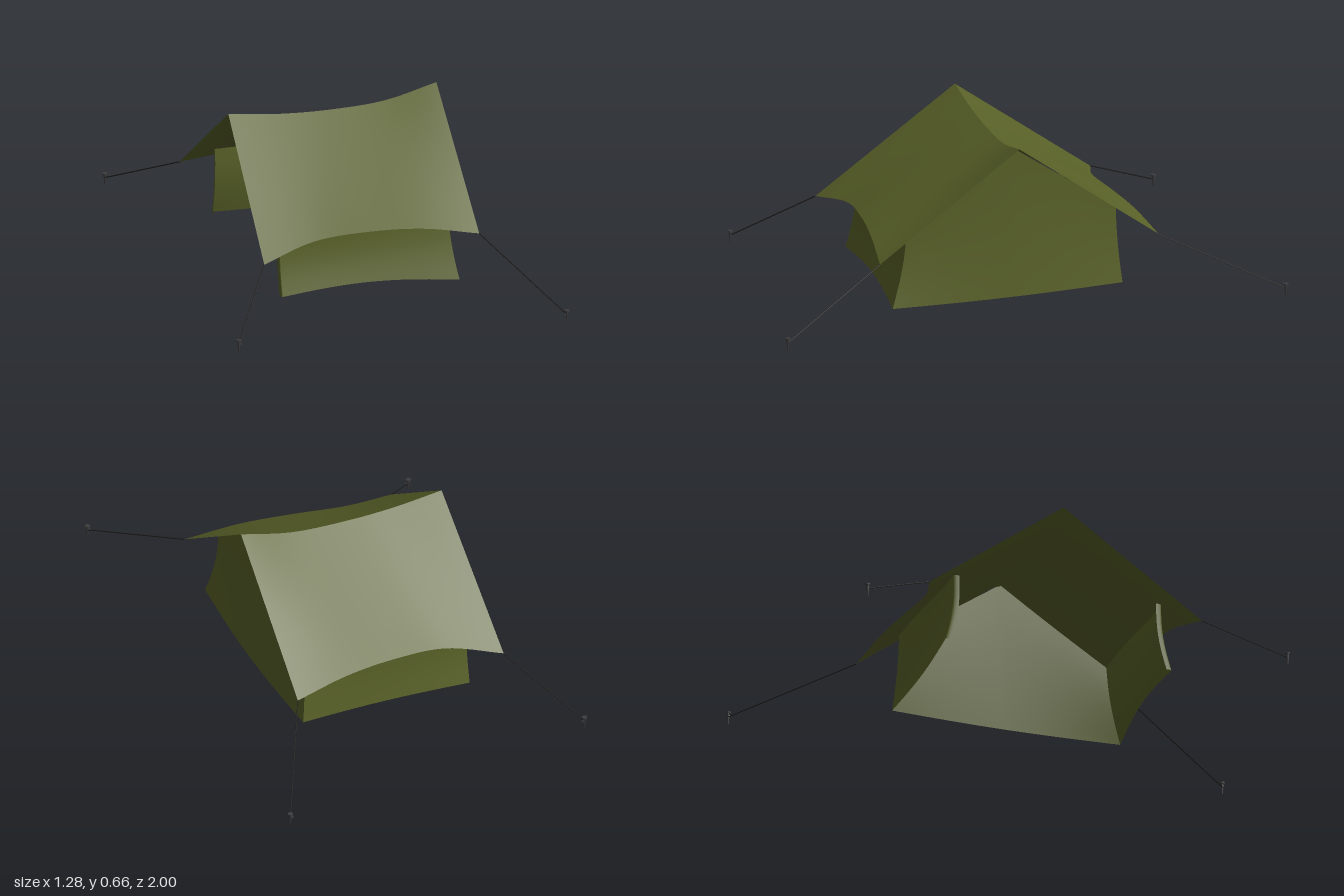
import * as THREE from 'three';

const canvas = new THREE.MeshStandardMaterial({ color: 0x5a6228, side: THREE.DoubleSide });
canvas.name = 'olive canvas';
const cord = new THREE.MeshStandardMaterial({ color: 0x1c1c1a });
cord.name = 'black cord';
const metal = new THREE.MeshStandardMaterial({ color: 0x3c3c3e });
metal.name = 'dark metal';

const lerp = THREE.MathUtils.lerp;
const curve = pts => new THREE.CatmullRomCurve3(pts.map(p => new THREE.Vector3(...p)));

// sagging ridge line and front eave line, both running from -x to +x
const ridge = curve([[-0.41, 0.628, 0], [-0.204, 0.604, 0], [0.002, 0.598, 0], [0.209, 0.61, 0], [0.415, 0.66, 0]]);
const eave = curve([[-0.435, 0.225, 0.545], [-0.22, 0.272, 0.488], [-0.01, 0.29, 0.497], [0.2, 0.288, 0.522], [0.415, 0.255, 0.553]]);

// height of the roof above a point on the ground
function roofY(x, z) {
  const u = THREE.MathUtils.clamp((x + 0.415) / 0.83, 0, 1);
  const e = eave.getPoint(u);
  return lerp(ridge.getPoint(u).y, e.y, Math.abs(z) / e.z);
}

// smooth sheet from a rule f(u, v) -> [x, y, z]
function sheet(name, f, nu, nv) {
  const pos = [], index = [];
  for (let j = 0; j <= nv; j++) {
    for (let i = 0; i <= nu; i++) pos.push(...f(i / nu, j / nv));
  }
  for (let j = 0; j < nv; j++) {
    for (let i = 0; i < nu; i++) {
      const a = j * (nu + 1) + i, b = a + nu + 1;
      index.push(a, b, a + 1, a + 1, b, b + 1);
    }
  }
  const g = new THREE.BufferGeometry();
  g.setAttribute('position', new THREE.Float32BufferAttribute(pos, 3));
  g.setIndex(index);
  g.computeVertexNormals();
  const mesh = new THREE.Mesh(g, canvas);
  mesh.name = name;
  return mesh;
}

// corner edges of the body: v = 0 at the roof, v = 1 at the hem
const frontCorner = v => [lerp(0.33, 0.358, v * v), lerp(0.42, 0.485, v) - 0.012 * Math.sin(Math.PI * v)];
const backCorner = v => [lerp(0.325, 0.342, v * v), lerp(-0.41, -0.432, v) + 0.004 * Math.sin(Math.PI * v)];

function sideWall(name, corner, endTop, endBottom, side, hemRise) {
  return sheet(name, (u, v) => {
    const [cx, cz] = corner(v);
    const x = lerp(-0.335, cx, u);
    const endZ = lerp(endTop, endBottom, v) - 0.012 * Math.sin(Math.PI * v);
    const sag = Math.sin(Math.PI * u);
    const z = lerp(side * endZ, cz, u) - side * 0.012 * sag * v;
    const top = roofY(x, lerp(side * endTop, corner(0)[1], u)) - 0.004;
    return [x, lerp(top, 0.047 + hemRise * sag, v), z];
  }, 24, 12);
}

// narrow rounded flap turned in at the open end
function endFlap(name, top, bottom, side) {
  return sheet(name, (u, v) => {
    const a = u * Math.PI / 2;
    const z = lerp(top, bottom, v) - 0.012 * Math.sin(Math.PI * v);
    return [
      -0.335 - 0.006 * Math.sin(a),
      lerp(roofY(-0.335, top) - 0.004, 0.047, v),
      side * (z - 0.022 * (1 - Math.cos(a))),
    ];
  }, 5, 12);
}

// ground peg: tapered shaft, flat head and side hook
function peg(x, y, z) {
  const g = new THREE.Group();
  g.name = 'peg';
  const shaft = new THREE.Mesh(new THREE.CylinderGeometry(0.006, 0.002, 0.046, 8), metal);
  shaft.name = 'pegShaft';
  shaft.position.y = 0.023;
  const head = new THREE.Mesh(new THREE.CylinderGeometry(0.01, 0.01, 0.006, 10), metal);
  head.name = 'pegHead';
  head.position.y = 0.046;
  const hook = new THREE.Mesh(new THREE.BoxGeometry(0.012, 0.005, 0.006), metal);
  hook.name = 'pegHook';
  hook.position.set(-Math.sign(x) * 0.006, 0.03, 0);
  g.add(shaft, head, hook);
  g.position.set(x, y, z);
  return g;
}

export function createModel() {
  const tent = new THREE.Group();
  tent.name = 'tent';

  // two roof panels meeting in a crease at the ridge
  for (const side of [1, -1]) {
    tent.add(sheet(side > 0 ? 'frontRoof' : 'backRoof', (u, v) => {
      const r = ridge.getPoint(u), e = eave.getPoint(u);
      return [lerp(r.x, e.x, v), lerp(r.y, e.y, v), side * e.z * v];
    }, 32, 8));
  }

  // long walls
  tent.add(sideWall('frontWall', frontCorner, 0.415, 0.457, 1, 0.022));
  tent.add(sideWall('backWall', backCorner, 0.415, 0.446, -1, 0));
  tent.add(endFlap('frontFlap', 0.415, 0.457, 1));
  tent.add(endFlap('backFlap', 0.415, 0.446, -1));

  // closed gable wall, bulging slightly outwards; the other end is open
  tent.add(sheet('gableWall', (u, v) => {
    const [fx, fz] = frontCorner(v), [bx, bz] = backCorner(v);
    const bulge = Math.sin(Math.PI * u);
    const x = lerp(fx, bx, u) + 0.018 * bulge;
    const top = roofY(x, lerp(frontCorner(0)[1], backCorner(0)[1], u)) - 0.004;
    return [x, lerp(top, 0.047, v), lerp(fz, bz, u)];
  }, 40, 12));

  // guy ropes from the eave corners to the pegs: u along the eave, side, peg x, y, z
  const guys = [
    [1, 1, 0.63, 0.035, 0.985],
    [1, -1, 0.63, 0.035, -0.99],
    [0, 1, -0.622, 0, 0.825],
    [0, -1, -0.635, 0.033, -0.858],
  ];
  for (const [u, side, x, y, z] of guys) {
    const a = eave.getPoint(u);
    a.z *= side;
    const b = new THREE.Vector3(x, y + 0.03, z);
    const rope = new THREE.Mesh(new THREE.TubeGeometry(new THREE.LineCurve3(a, b), 1, 0.0022, 6), cord);
    rope.name = 'guyRope';
    tent.add(rope, peg(x, y, z));
  }
  return tent;
}
